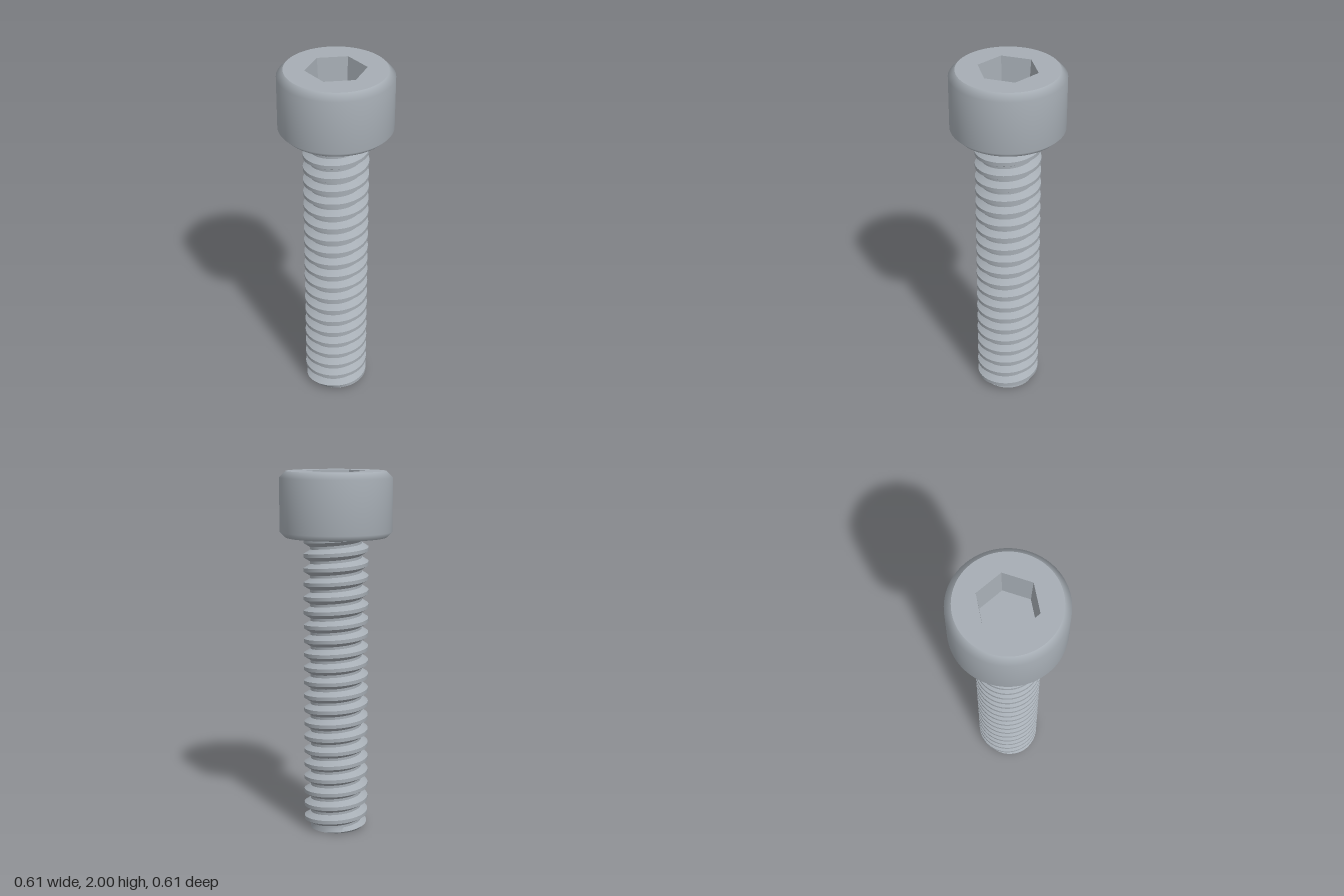
import * as THREE from 'three';
import { toCreasedNormals } from 'three/addons/utils/BufferGeometryUtils.js';

const HEAD_BASE = 1.645, TOP = 2, HEAD_R = 0.307, RIM_R = 0.272;
const SOCKET_R = 0.163, SOCKET_FLOOR_R = 0.15, SOCKET_DEPTH = 0.18;
const CREST_R = 0.178, ROOT_R = 0.142, TIP_R = 0.144, PITCH = 0.0783;

// Right-handed thread: a one-pitch profile swept up a helix, trimmed at both ends
function threadGeometry() {
  const steps = 64, turns = 24, crestAtFront = 0.023;
  const profile = [[-0.039, ROOT_R], [-0.032, ROOT_R], [-0.01, CREST_R], [0.01, CREST_R], [0.032, ROOT_R], [PITCH - 0.039, ROOT_R]];
  const positions = [], index = [];
  for (let i = 0; i <= steps * turns; i++) {
    const turn = i / steps - 1, a = turn * Math.PI * 2;
    for (const [dy, pr] of profile) {
      const y = THREE.MathUtils.clamp(crestAtFront + turn * PITCH + dy, 0, HEAD_BASE);
      const r = Math.min(pr, TIP_R + y * 1.1);
      positions.push(r * Math.sin(a), y, r * Math.cos(a));
    }
  }
  const n = profile.length;
  for (let i = 0; i < steps * turns; i++) {
    for (let j = 0; j < n - 1; j++) {
      const a = i * n + j, b = a + n;
      index.push(a, b, b + 1, a, b + 1, a + 1);
    }
  }
  const geo = new THREE.BufferGeometry();
  geo.setAttribute('position', new THREE.Float32BufferAttribute(positions, 3));
  geo.setIndex(index);
  return toCreasedNormals(geo, 0.5);
}

export function createModel() {
  const model = new THREE.Group();
  const steel = new THREE.MeshStandardMaterial({ color: 0xa6adb4 });
  steel.name = 'steel';
  const add = (name, geometry, y = 0, parent = model) => {
    const mesh = new THREE.Mesh(geometry, steel);
    mesh.name = name;
    mesh.position.y = y;
    parent.add(mesh);
    return mesh;
  };

  // Cap head: softly shaded side with a bevel at each end
  const head = new THREE.Group();
  head.name = 'head';
  model.add(head);
  const side = [[0.277, HEAD_BASE], [HEAD_R, HEAD_BASE + 0.03], [HEAD_R, TOP - 0.035], [RIM_R, TOP]];
  add('headSide', new THREE.LatheGeometry(side.map(([r, y]) => new THREE.Vector2(r, y)), 96), 0, head);
  add('headUnderside', new THREE.CircleGeometry(0.277, 96).rotateX(Math.PI / 2), HEAD_BASE, head);

  // Flat top with a hexagonal opening, corners on the x axis
  const corner = (i) => new THREE.Vector2(Math.cos(i * Math.PI / 3), Math.sin(i * Math.PI / 3)).multiplyScalar(SOCKET_R);
  const face = new THREE.Shape().absarc(0, 0, RIM_R, 0, Math.PI * 2);
  face.holes.push(new THREE.Path([0, 5, 4, 3, 2, 1, 0].map(corner)));
  add('headTop', new THREE.ShapeGeometry(face, 48).rotateX(-Math.PI / 2), TOP, head);

  // Tapered socket: hexagonal walls turned to face inwards, and a floor
  const wall = new THREE.CylinderGeometry(SOCKET_R, SOCKET_FLOOR_R, SOCKET_DEPTH, 6, 1, true).rotateY(Math.PI / 6);
  const idx = wall.index.array;
  for (let i = 0; i < idx.length; i += 3) [idx[i], idx[i + 1]] = [idx[i + 1], idx[i]];
  const flatWall = wall.toNonIndexed();
  flatWall.computeVertexNormals();
  add('socketWalls', flatWall, TOP - SOCKET_DEPTH / 2, head);
  add('socketFloor', new THREE.CircleGeometry(SOCKET_FLOOR_R, 6).rotateX(-Math.PI / 2), TOP - SOCKET_DEPTH, head);

  // Threaded shank with a flat tip
  add('thread', threadGeometry());
  add('tip', new THREE.CircleGeometry(TIP_R, 64).rotateX(Math.PI / 2));
  return model;
}
